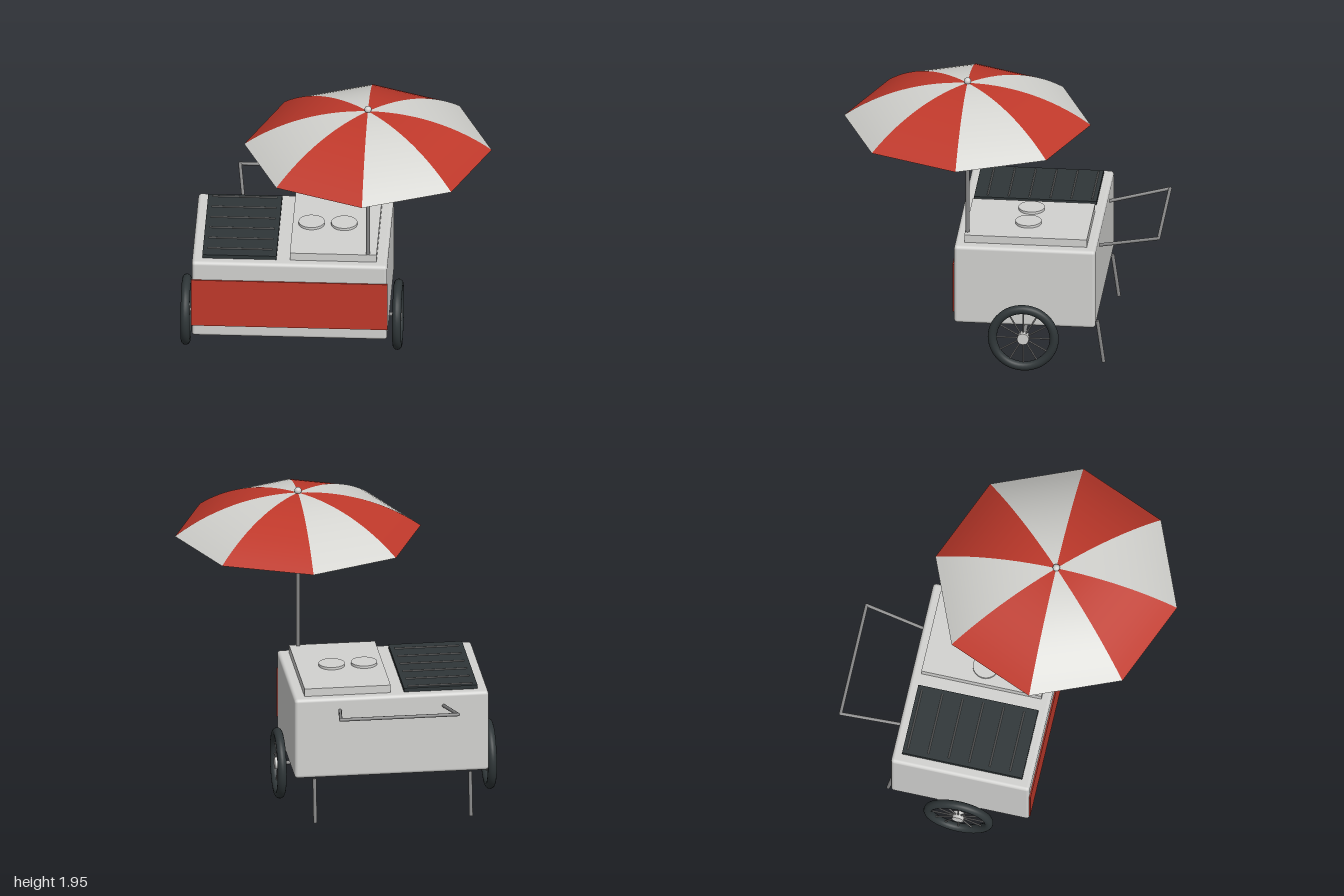
import * as THREE from 'three';
import { RoundedBoxGeometry } from 'three/addons/geometries/RoundedBoxGeometry.js';

const mat = (name, color, side = THREE.FrontSide) => {
  const m = new THREE.MeshStandardMaterial({ color, side });
  m.name = name;
  return m;
};

export function createModel() {
  const root = new THREE.Group();
  root.name = 'umbrellaCart';
  const steel = mat('light steel', 0xd2d2d0);
  const metal = mat('grey metal', 0x858585);
  const dark = mat('dark grill and rubber', 0x2f3638);
  const red = mat('red panel', 0xc0392b);
  const clothRed = mat('red cloth', 0xc0392b, THREE.DoubleSide);
  const clothWhite = mat('white cloth', 0xd4d4d0, THREE.DoubleSide);

  const add = (name, geo, material, x = 0, y = 0, z = 0, parent = root) => {
    const m = new THREE.Mesh(geo, material);
    m.name = name;
    m.position.set(x, y, z);
    parent.add(m);
    return m;
  };
  // Round bar between two points
  const bar = (name, a, b, r, material = metal, parent = root) => {
    const p = new THREE.Vector3(...a), q = new THREE.Vector3(...b);
    const d = q.clone().sub(p);
    const m = add(name, new THREE.CylinderGeometry(r, r, d.length(), 12), material, 0, 0, 0, parent);
    m.position.copy(p).add(q).multiplyScalar(0.5);
    m.quaternion.setFromUnitVectors(new THREE.Vector3(0, 1, 0), d.normalize());
    return m;
  };

  // Cart body and front panel
  add('body', new RoundedBoxGeometry(1.24, 0.535, 0.9, 4, 0.022), steel, -0.29, 0.557, -0.16);
  add('frontPanel', new THREE.BoxGeometry(1.245, 0.33, 0.009), red, -0.29, 0.535, 0.294);

  // Grill with rods
  add('grill', new THREE.BoxGeometry(0.47, 0.028, 0.78), dark, -0.61, 0.835, -0.16);
  for (let i = 0; i < 6; i++) {
    const z = -0.52 + i * 0.133;
    bar('grillRod', [-0.815, 0.852, z], [-0.405, 0.852, z], 0.005);
  }

  // Raised counter with two round lids
  add('counter', new THREE.BoxGeometry(0.55, 0.055, 0.78), steel, -0.015, 0.848, -0.16);
  for (const x of [-0.17, 0.037]) {
    add('lid', new THREE.CylinderGeometry(0.083, 0.083, 0.018, 32), steel, x, 0.883, -0.157);
  }

  // Push handle
  const handle = [[-0.62, 0.74, -0.6], [-0.665, 0.826, -0.99], [0.085, 0.826, -0.99], [0.04, 0.74, -0.6]];
  for (let i = 0; i < 3; i++) bar('handleBar', handle[i], handle[i + 1], 0.011);
  for (const p of [handle[1], handle[2]]) add('handleCorner', new THREE.SphereGeometry(0.011, 12, 8), metal, ...p);

  // Rear legs
  for (const x of [-0.79, 0.205]) bar('leg', [x, 0.29, -0.612], [x, 0.003, -0.652], 0.012);

  // Axle and spoked wheels
  bar('axle', [-0.98, 0.229, -0.157], [0.395, 0.229, -0.157], 0.012);
  for (const x of [-0.965, 0.378]) {
    const wheel = new THREE.Group();
    wheel.name = 'wheel';
    wheel.position.set(x, 0.229, -0.157);
    wheel.rotation.y = Math.PI / 2;
    root.add(wheel);
    add('tyre', new THREE.TorusGeometry(0.197, 0.029, 14, 48), dark, 0, 0, 0, wheel);
    bar('hub', [0, 0, -0.025], [0, 0, 0.025], 0.038, steel, wheel);
    for (let i = 0; i < 12; i++) {
      const a = i * Math.PI / 6;
      bar('spoke', [0, 0, 0], [0.185 * Math.cos(a), 0.185 * Math.sin(a), 0], 0.005, metal, wheel);
    }
  }

  // Umbrella: pole, finial and eight domed panels
  const umbrella = new THREE.Group();
  umbrella.name = 'umbrella';
  umbrella.position.set(0.205, 0, 0.215);
  root.add(umbrella);
  bar('pole', [0, 0.82, 0], [0, 1.91, 0], 0.013, metal, umbrella);
  add('finial', new THREE.SphereGeometry(0.023, 20, 14), steel, 0, 1.928, 0, umbrella);
  const radius = 1.315, edge = Math.asin(0.785 / radius), profile = [];
  for (let i = 0; i <= 14; i++) {
    const t = edge * (1 - i / 14);
    profile.push(new THREE.Vector2(Math.max(radius * Math.sin(t), 0.0005), 0.6 + radius * Math.cos(t)));
  }
  for (let i = 0; i < 8; i++) {
    const geo = new THREE.LatheGeometry(profile, 1, i * Math.PI / 4, Math.PI / 4);
    geo.computeVertexNormals();
    add('umbrellaPanel', geo, i % 2 ? clothRed : clothWhite, 0, 0, 0, umbrella);
  }
  return root;
}
